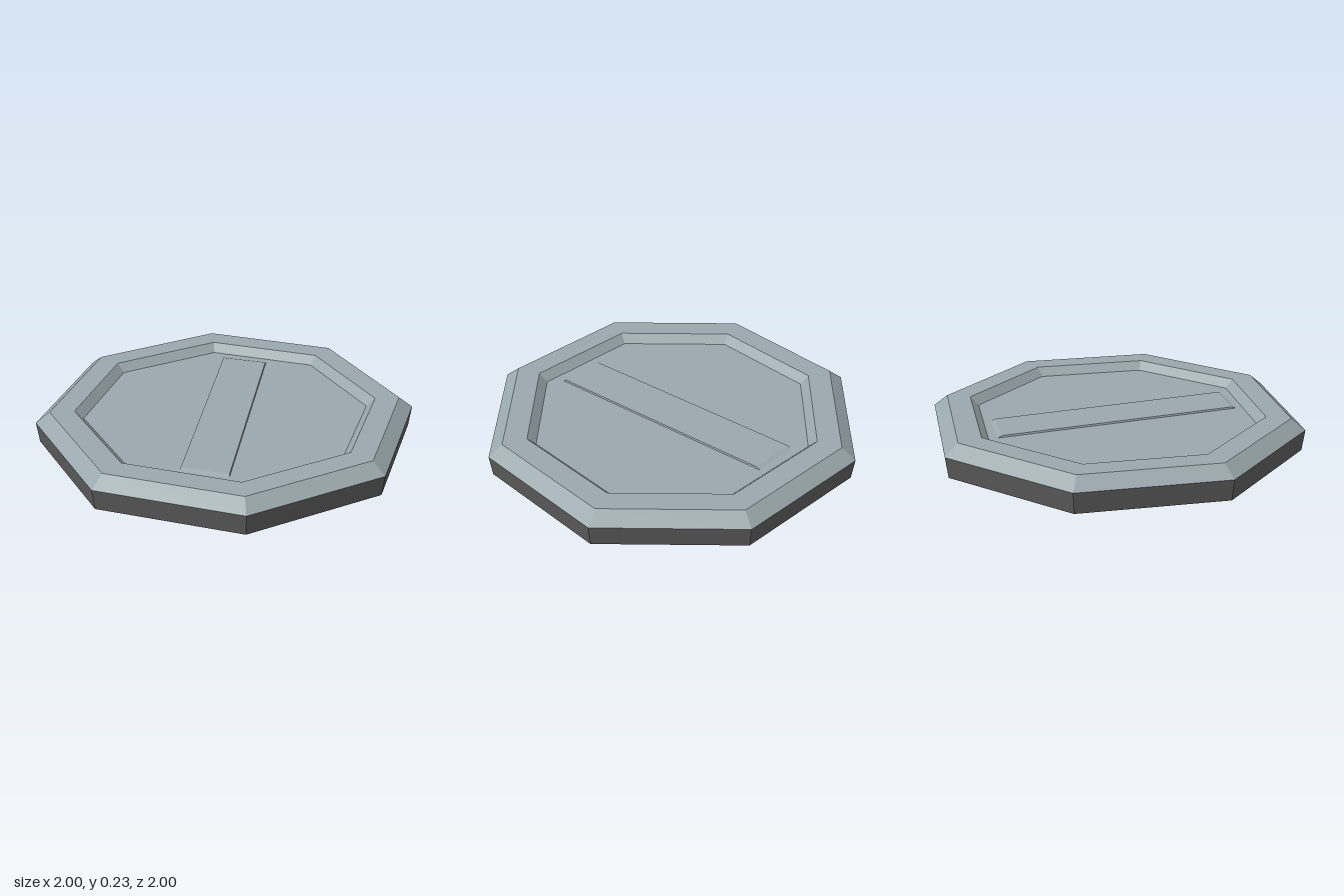
import * as THREE from 'three';

const paleSteel = new THREE.MeshStandardMaterial({ color: 0x9aa7ac });
paleSteel.name = 'paleSteel';
const darkSteel = new THREE.MeshStandardMaterial({ color: 0x5b5b5b });
darkSteel.name = 'darkSteel';

// Flat-shaded octagonal surface; profile is [distance to flat side, height]
function octagon(name, profile, material) {
  const points = profile.map(([a, y]) => new THREE.Vector2(a / Math.cos(Math.PI / 8), y));
  const geometry = new THREE.LatheGeometry(points, 8, Math.PI / 8).toNonIndexed();
  geometry.computeVertexNormals();
  const mesh = new THREE.Mesh(geometry, material);
  mesh.name = name;
  return mesh;
}

// Low bar lying diagonally on the floor, with ramped ends
function diagonalBar() {
  const geometry = new THREE.BoxGeometry(1, 1, 1);
  const pos = geometry.attributes.position;
  for (let i = 0; i < pos.count; i++) {
    const up = pos.getY(i) > 0;
    const across = Math.sign(pos.getX(i));
    const along = Math.sign(pos.getZ(i));
    const w = across * (up ? 0.132 : 0.137);
    const l = along * (up ? 0.685 : 0.728) + across * 0.013;
    // the long axis runs toward +x, -z
    pos.setXYZ(i, w * 0.797 - l * 0.604, up ? 0.197 : 0.18, w * 0.604 + l * 0.797);
  }
  const flat = geometry.toNonIndexed();
  flat.computeVertexNormals();
  const mesh = new THREE.Mesh(flat, paleSteel);
  mesh.name = 'diagonalBar';
  return mesh;
}

export function createModel() {
  const group = new THREE.Group();
  group.name = 'octagonalDisc';
  // Dark underside and side wall
  group.add(octagon('base', [[0, 0], [0.88, 0], [0.985, 0.05], [1, 0.17]], darkSteel));
  // Bevelled rim dropping to the recess
  group.add(octagon('rim', [[1, 0.17], [0.925, 0.235], [0.795, 0.235], [0.75, 0.187]], paleSteel));
  group.add(octagon('recessFloor', [[0.75, 0.187], [0, 0.187]], paleSteel));
  group.add(diagonalBar());
  return group;
}
